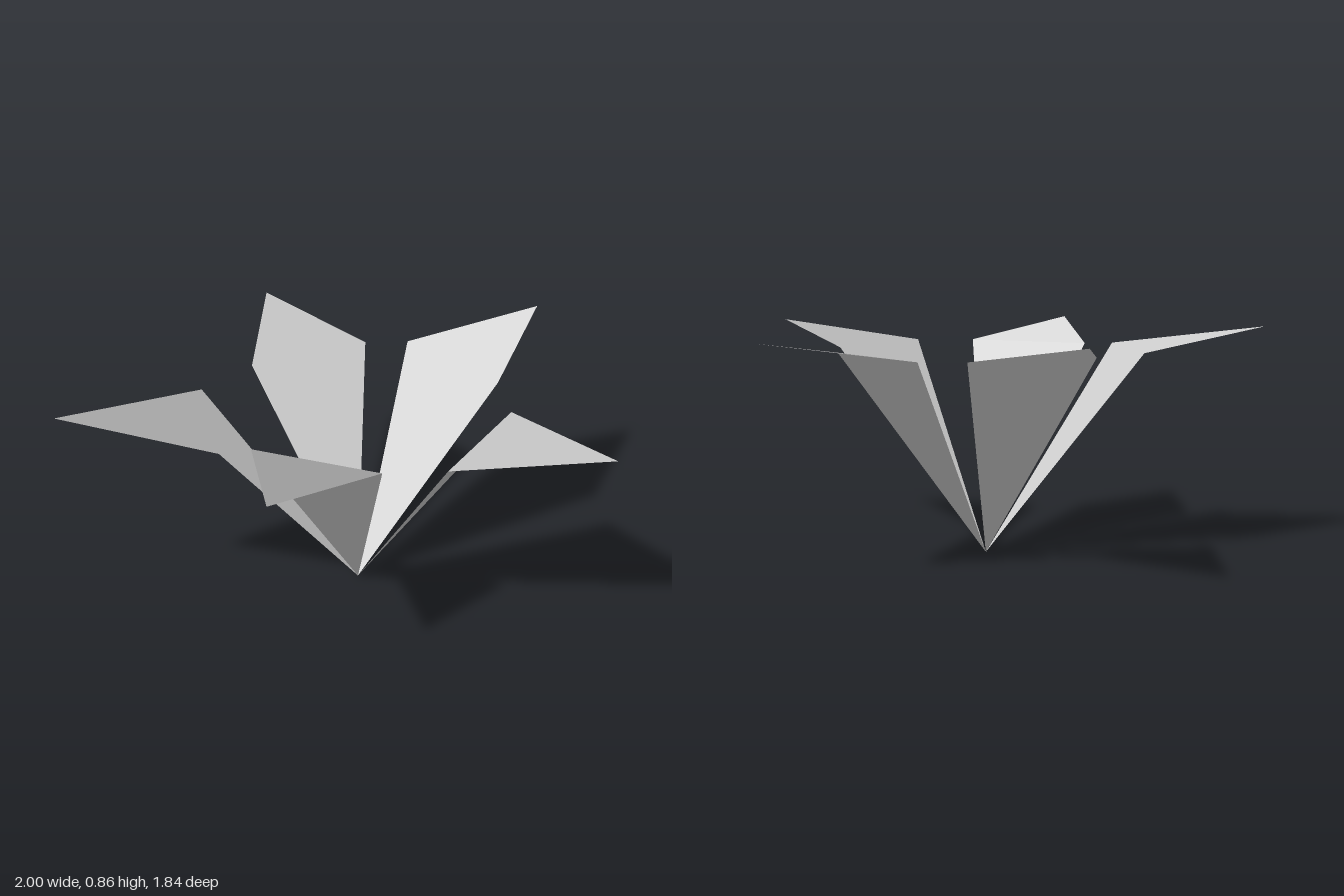
import * as THREE from 'three';

// Each petal: heading in degrees (from +x towards +z) and distance from root axis to fold
const PETALS = [
  [-6, 0.505],
  [68.8, 0.512],
  [146.9, 0.43],
  [204.8, 0.548],
  [282.7, 0.456],
];
const HALF_WIDTH = 0.243;
const FOLD_Y = 0.78;
const TIP_Y = 0.856;

// Kite folded across its shoulders, shaded as one facet
function petalGeometry(reach) {
  const root = new THREE.Vector3(0, 0, 0);
  const right = new THREE.Vector3(reach, FOLD_Y, HALF_WIDTH);
  const left = new THREE.Vector3(reach, FOLD_Y, -HALF_WIDTH);
  const tip = new THREE.Vector3(reach * 2, TIP_Y, 0);
  const geometry = new THREE.BufferGeometry().setFromPoints([root, right, tip, left]);
  geometry.setIndex([0, 1, 3, 1, 2, 3]);

  // One shared normal, square to both diagonals
  const n = right.clone().sub(left).cross(tip).normalize();
  const normals = [0, 1, 2, 3].flatMap(() => n.toArray());
  geometry.setAttribute('normal', new THREE.Float32BufferAttribute(normals, 3));
  return geometry;
}

export function createModel() {
  const plant = new THREE.Group();
  plant.name = 'plant';
  const grey = new THREE.MeshStandardMaterial({ color: 0xcccccc, side: THREE.DoubleSide });
  grey.name = 'light grey';

  // Petals fan out from a common root
  PETALS.forEach(([heading, reach], i) => {
    const petal = new THREE.Mesh(petalGeometry(reach), grey);
    petal.name = `petal${i + 1}`;
    petal.position.set(-0.006, 0, -0.035);
    petal.rotation.y = -THREE.MathUtils.degToRad(heading);
    plant.add(petal);
  });
  return plant;
}
